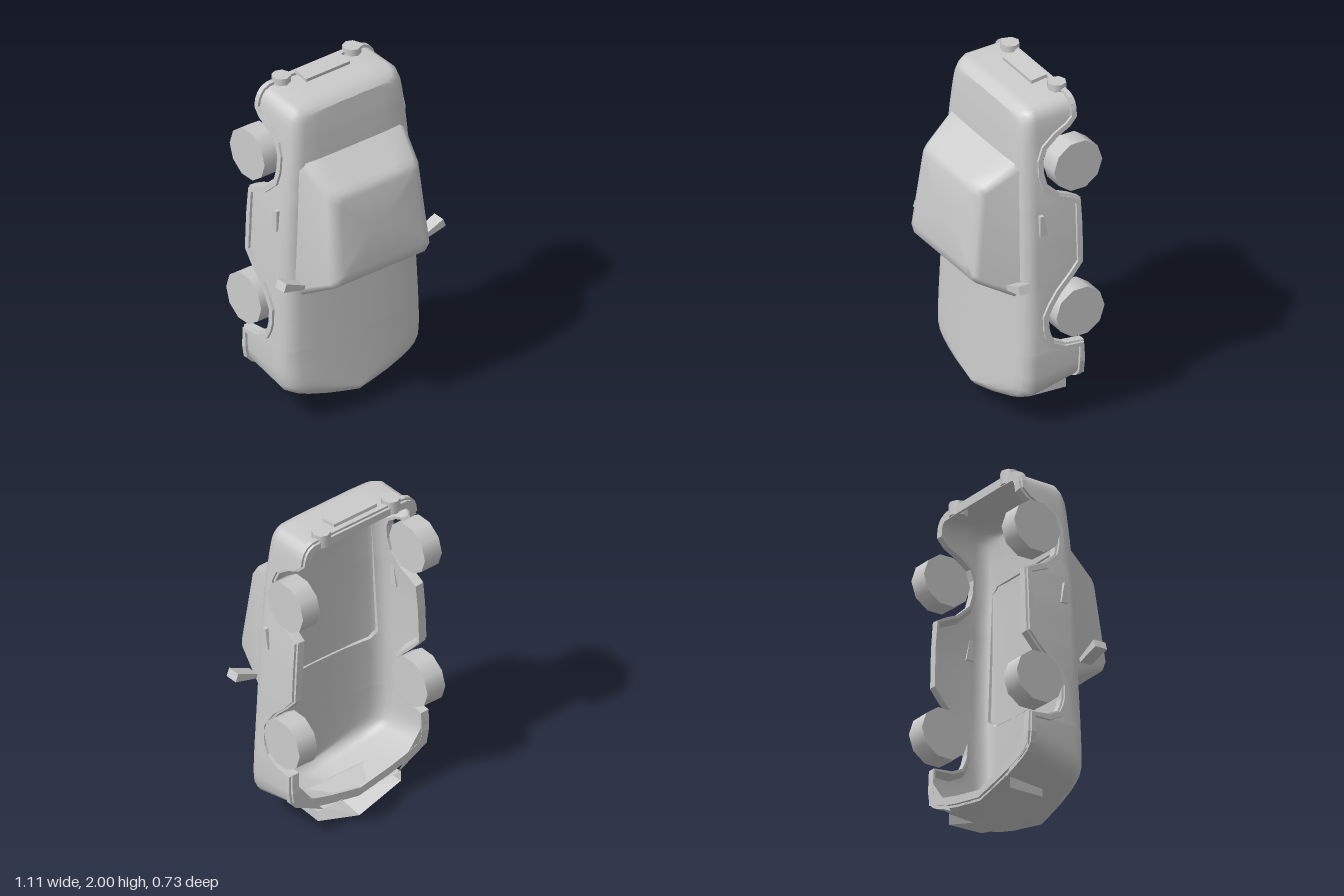
import * as THREE from 'three';
import { mergeVertices, toCreasedNormals } from 'three/addons/utils/BufferGeometryUtils.js';

const material = new THREE.MeshStandardMaterial({ color: 0xcccccc, side: THREE.DoubleSide });
const flat = new THREE.MeshStandardMaterial({ color: 0xcccccc, side: THREE.DoubleSide, flatShading: true });

// Skin a list of closed rings of [x, y, z] points
function loft(rings, wrap = false) {
  const n = rings[0].length, index = [];
  const rows = wrap ? rings.length : rings.length - 1;
  for (let r = 0; r < rows; r++) {
    for (let i = 0; i < n; i++) {
      const j = (i + 1) % n, s = ((r + 1) % rings.length) * n, a = r * n;
      index.push(a + i, a + j, s + j, a + i, s + j, s + i);
    }
  }
  const g = new THREE.BufferGeometry();
  g.setAttribute('position', new THREE.Float32BufferAttribute(rings.flat(2), 3));
  g.setIndex(index);
  return g;
}

function smooth(geometry) {
  const g = mergeVertices(geometry, 1e-4);
  g.computeVertexNormals();
  return g;
}

// Piecewise linear lookup in [key, value] pairs
function lookup(table, t) {
  if (t <= table[0][0]) return table[0][1];
  for (let i = 1; i < table.length; i++) {
    const [a, va] = table[i - 1], [b, vb] = table[i];
    if (t <= b) return va + (vb - va) * (t - a) / (b - a);
  }
  return table[table.length - 1][1];
}

// Half plan of the body as [y, x]: corners at nose and tail, sides between
const nose = [[0.085, 0], [0.105, 0.1], [0.13, 0.22], [0.16, 0.33], [0.185, 0.4], [0.21, 0.445], [0.25, 0.474]];
const side = [[0.25, 0.474], [0.33, 0.484], [0.5, 0.482], [0.9, 0.468], [1.2, 0.455], [1.5, 0.43], [1.85, 0.4], [1.9, 0.393]];
const tail = [[1.93, 0.382], [1.955, 0.362], [1.97, 0.33], [1.975, 0.2], [1.975, 0]];
// Lower edge of the sides as [y, z], stepping over both wheel arches
const edge = [[0.33, -0.24], [0.465, -0.24], [0.475, -0.13], [0.52, -0.055], [0.57, -0.03], [0.62, -0.018],
  [0.7, -0.018], [0.76, -0.05], [0.83, -0.1], [0.91, -0.18], [0.98, -0.24], [1.1, -0.24], [1.2, -0.24],
  [1.345, -0.24], [1.37, -0.19], [1.4, -0.12], [1.48, -0.037], [1.56, -0.017], [1.65, -0.017],
  [1.72, -0.045], [1.78, -0.12], [1.82, -0.2], [1.86, -0.24], [1.9, -0.24]];
const top = [[0.1, 0.168], [0.8, 0.132], [1.6, 0.101], [1.78, 0.085], [1.9, 0.07]];

const half = [...nose.map(([y, x]) => [x, y]), ...edge.map(([y]) => [lookup(side, y), y]), ...tail.map(([y, x]) => [x, y])];
const plan = [...half, ...half.slice(1, -1).reverse().map(([x, y]) => [-x, y])];

// Height of the crowned upper surface
const bodyTop = (x, y) => lookup(top, y) - 0.018 * (1.95 - y) * (x / 0.48) ** 2;

function bodyRing(inset, noseIn, tailIn, drop, rim = false) {
  return plan.map(([X, Y]) => {
    const x = X * (1 - inset);
    const y = Y + noseIn * THREE.MathUtils.clamp((0.5 - Y) / 0.3, 0, 1)
      - tailIn * THREE.MathUtils.clamp((Y - 1.6) / 0.36, 0, 1);
    return [x, y, rim ? lookup(edge, Y) : bodyTop(x, y) - drop];
  });
}

// Chamfered four-sided ring for the cabin
function cabinRing(yf, yr, wf, wr, zf, zr, c) {
  const right = [[0, yf], [wf / 2, yf], [wf - c, yf], [wf, yf + c], [wr, yr - c], [wr - c, yr], [wr / 2, yr], [0, yr]];
  const all = [...right, ...right.slice(1, -1).reverse().map(([x, y]) => [-x, y])];
  return all.map(([x, y]) => [x, y, zf + (zr - zf) * (y - yf) / (yr - yf)]);
}

// Stepped strip swept around the lower rim: an outer bead and an inner lip
function rimTrim(path) {
  const section = [[-0.045, -0.024], [0, -0.024], [0.002, -0.012], [0.016, -0.012], [0.016, 0.018], [-0.006, 0.018], [-0.045, -0.008]];
  const pts = path.map(p => new THREE.Vector3(...p)), n = pts.length;
  const rings = pts.map((p, i) => {
    const prev = pts[(i + n - 1) % n], next = pts[(i + 1) % n];
    const along = next.clone().sub(p).normalize().add(p.clone().sub(prev).normalize()).normalize();
    const out = new THREE.Vector3(next.y - prev.y, prev.x - next.x, 0).normalize();
    const up = out.clone().cross(along).normalize();
    return section.map(([o, u]) => p.clone().addScaledVector(out, o).addScaledVector(up, u).toArray());
  });
  return loft(rings, true).toNonIndexed();
}

export function createModel() {
  const model = new THREE.Group();
  const add = (name, geometry, mat = flat, x = 0, y = 0, z = 0) => {
    if (!geometry.attributes.normal) geometry.computeVertexNormals();
    const mesh = new THREE.Mesh(geometry, mat);
    mesh.name = name;
    mesh.position.set(x, y, z);
    model.add(mesh);
    return mesh;
  };

  // Hollow body, open underneath
  const rim = bodyRing(0.02, 0.065, 0.012, 0, true);
  const shoulder = bodyRing(0.2, 0.035, 0.07, 0.003);
  const across = f => shoulder.map(([x, y]) => [x * f, y, bodyTop(x * f, y)]);
  add('body', smooth(loft([rim, bodyRing(0.012, 0, 0.02, 0.085), bodyRing(0.045, 0.003, 0.035, 0.045),
    bodyRing(0.1, 0.014, 0.052, 0.018), shoulder, across(0.7), across(0.35), across(0)])), material);
  add('rimTrim', rimTrim(rim));

  // Cabin, its foot following the body surface
  const foot = cabinRing(0.81, 1.625, 0.412, 0.365, 0, 0, 0.04)
    .map(([x, y]) => [x, y, bodyTop(x, y) - 0.007 - 0.3 * Math.max(0, Math.abs(x) - 0.34)]);
  add('cabin', smooth(loft([
    foot,
    cabinRing(0.935, 1.505, 0.345, 0.315, 0.325, 0.258, 0.035),
    cabinRing(0.96, 1.485, 0.325, 0.295, 0.352, 0.288, 0.035),
    cabinRing(1.02, 1.45, 0.275, 0.255, 0.364, 0.309, 0.03),
    cabinRing(1.2, 1.3, 0.1, 0.1, 0.344, 0.332, 0.02),
    cabinRing(1.25, 1.25001, 0, 0, 0.338, 0.338, 0),
  ])), material);

  // Front lip, a shallow V open at the back and reaching up to the nose
  const lip = (w, end, outer, mid, z) => [[0, mid, z], [w, outer, z], [w, end, z], [0, end, z], [-w, end, z], [-w, outer, z]];
  add('frontLip', loft([lip(0.29, 0.165, 0.1, 0.005, -0.255), lip(0.285, 0.15, 0.105, 0.033, -0.04),
    lip(0.27, 0.16, 0.155, 0.112, -0.06)]).toNonIndexed());

  // Plate on the tail, lying along its slope
  add('tailPlate', new THREE.BoxGeometry(0.3, 0.02, 0.1), flat, 0, 1.982, -0.172).rotation.x = 0.12;

  for (const s of [1, -1]) {
    const label = s > 0 ? 'left' : 'right';

    // Wheels
    for (const [end, y, inner, outer] of [['Front', 0.692, 0.385, 0.51], ['Rear', 1.595, 0.367, 0.486]]) {
      const g = new THREE.CylinderGeometry(0.152, 0.152, outer - inner, 10);
      g.rotateZ(Math.PI / 2);
      add(label + end + 'Wheel', g, material, s * (inner + outer) / 2, y, -0.213);
    }

    // Tail lamps
    const lamp = new THREE.CylinderGeometry(0.053, 0.053, 0.08, 8);
    add(label + 'TailLamp', lamp, material, s * 0.243, 1.96, -0.225);

    // Wing mirrors, thicker toward the tip
    const mirror = new THREE.BoxGeometry(0.15, 0.04, 0.07);
    const p = mirror.attributes.position;
    for (let i = 0; i < p.count; i++) {
      const tip = p.getX(i) * s > 0;
      p.setY(i, p.getY(i) * (tip ? 1.25 : 0.65));
      if (tip && p.getZ(i) > 0) p.setZ(i, 0.042);
    }
    add(label + 'Mirror', mirror, flat, s * 0.478, 0.938, 0.155).rotation.z = s * 0.35;

    // Door handles
    const shape = new THREE.Shape([[-0.01, 1.325], [0.015, 1.325], [0.036, 1.2], [-0.01, 1.2]].map(q => new THREE.Vector2(...q)));
    const handle = new THREE.ExtrudeGeometry(shape, { depth: 0.024, bevelEnabled: false });
    handle.rotateY(Math.PI / 2);
    add(label + 'DoorHandle', toCreasedNormals(handle, 0.3), material, s * 0.449 - 0.012, 0, 0);

    // Flat gussets under the nose corners
    const gusset = new THREE.Shape([[s * 0.46, 0.44], [s * 0.468, 0.28], [s * 0.26, 0.17]].map(q => new THREE.Vector2(...q)));
    add(label + 'NoseGusset', new THREE.ShapeGeometry(gusset), flat, 0, 0, -0.262);
  }
  return model;
}
